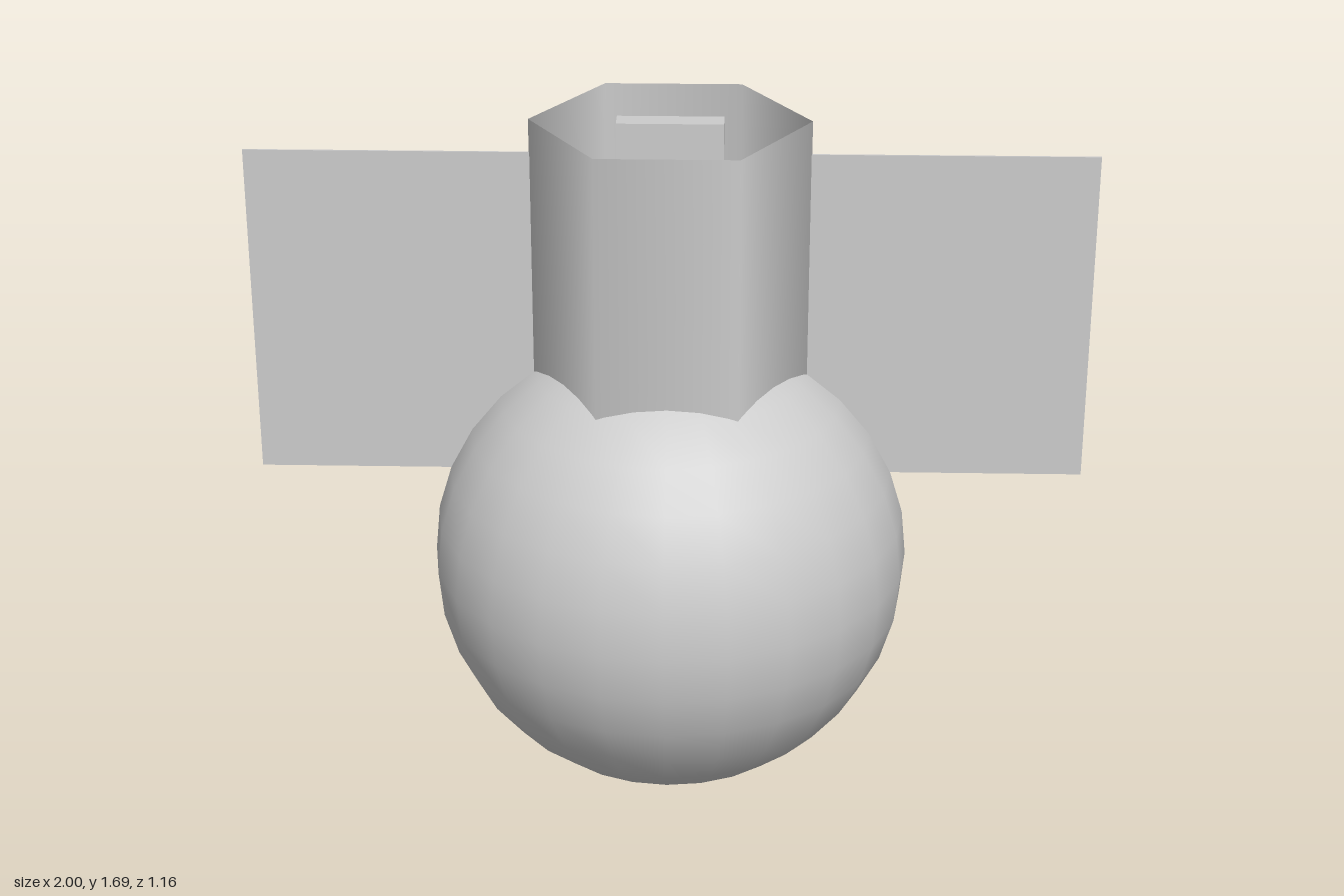
import * as THREE from 'three';

export function createModel() {
  const model = new THREE.Group();
  const grey = new THREE.MeshStandardMaterial({ color: 0xcccccc });
  grey.name = 'light grey';
  const greyShell = grey.clone(); // same grey, for the open tube
  greyShell.side = THREE.DoubleSide;

  const add = (name, geometry, x, y, z, material = grey) => {
    const mesh = new THREE.Mesh(geometry, material);
    mesh.name = name;
    mesh.position.set(x, y, z);
    model.add(mesh);
    return mesh;
  };
  // Box standing between two heights
  const slab = (name, w, d, y0, y1, x, z) =>
    add(name, new THREE.BoxGeometry(w, y1 - y0, d), x, (y0 + y1) / 2, z);

  // Round body
  add('body', new THREE.SphereGeometry(0.58, 24, 16), 0, 0.58, 0);

  // Open six-sided tube with smooth shading, corners on the x axis
  const tube = new THREE.CylinderGeometry(0.33, 0.33, 0.79, 6, 1, true);
  tube.rotateY(Math.PI / 6);
  add('hexTube', tube, 0, 1.295, 0, greyShell);

  // Flat side panels
  for (const [name, side] of [['leftPanel', 1], ['rightPanel', -1]]) {
    slab(name, 0.68, 0.005, 0.8, 1.61, side * 0.66, 0);
  }

  // Core inside the tube, with a lower plate before and behind it
  slab('core', 0.25, 0.06, 1.1, 1.69, 0, 0);
  slab('frontCorePlate', 0.274, 0.036, 1.1, 1.55, 0, 0.088);
  slab('backCorePlate', 0.274, 0.036, 1.1, 1.55, 0, -0.088);

  return model;
}
